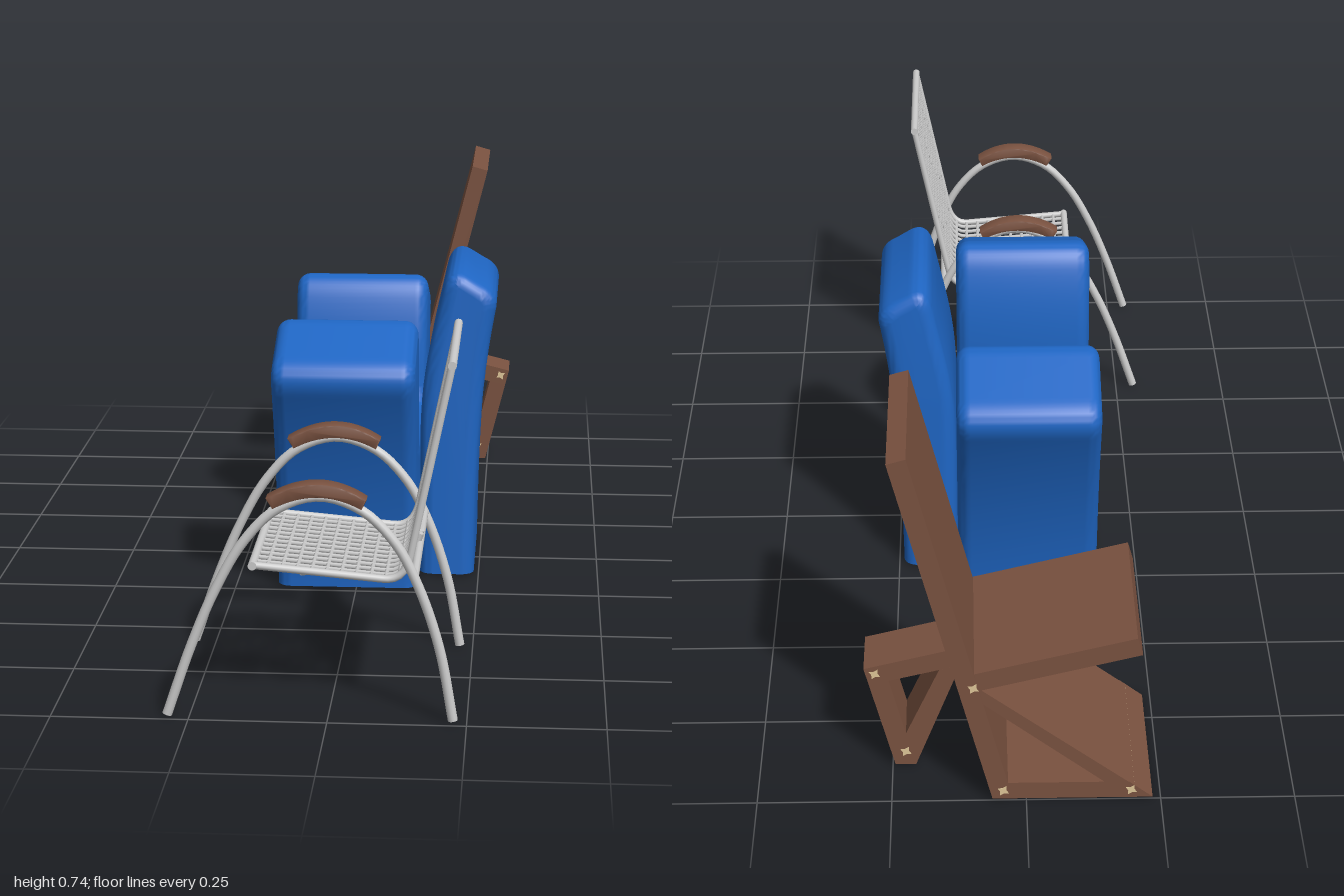
import * as THREE from 'three';
import { toCreasedNormals } from 'three/addons/utils/BufferGeometryUtils.js';

const material = (color) => new THREE.MeshStandardMaterial({ color, side: THREE.DoubleSide });
const metal = material(0xcccccc);
const blue = material(0x1f66c4);
const wood = material(0x7a5240);
const tan = material(0xe0c89a);

const v = (x, y, z = 0) => new THREE.Vector3(x, y, z);

function add(parent, name, geometry, mat) {
  const mesh = new THREE.Mesh(geometry, mat);
  mesh.name = name;
  parent.add(mesh);
  return mesh;
}

// Capped round bar between two points
function bar(parent, name, a, b, r, sides = 10) {
  const mesh = add(parent, name, new THREE.CylinderGeometry(r, r, a.distanceTo(b), sides), metal);
  mesh.position.copy(a).add(b).multiplyScalar(0.5);
  mesh.quaternion.setFromUnitVectors(v(0, 1, 0), b.clone().sub(a).normalize());
  return mesh;
}

// Bent tube with closed ends
function tube(parent, name, curve, segments, r, sides = 10) {
  add(parent, name, new THREE.TubeGeometry(curve, segments, r, sides), metal);
  for (const t of [0, 1]) {
    const p = curve.getPointAt(t);
    const d = curve.getTangentAt(t).multiplyScalar(0.0005);
    bar(parent, name + 'End', p.clone().sub(d), p.clone().add(d), r, sides);
  }
}

// Tubular arch chair with a wire mesh seat
function meshChair() {
  const g = new THREE.Group();
  g.name = 'meshChair';
  const half = 0.168;
  const archPoints = [[-0.29, 0], [-0.245, 0.13], [-0.2, 0.237], [-0.15, 0.325], [-0.09, 0.387], [-0.015, 0.412],
    [0.06, 0.389], [0.12, 0.33], [0.162, 0.25], [0.2, 0.135], [0.225, 0]];
  const rest = new THREE.Shape();
  rest.moveTo(-0.095, 0.392);
  rest.quadraticCurveTo(-0.015, 0.436, 0.062, 0.393);
  rest.lineTo(0.071, 0.411);
  rest.quadraticCurveTo(-0.015, 0.468, -0.107, 0.411);
  for (const side of [-1, 1]) {
    // Arched legs and armrests
    const arch = new THREE.CatmullRomCurve3(archPoints.map(([x, y]) => v(x, y, side * 0.203)));
    tube(g, 'archLeg', arch, 60, 0.009, 12);
    const armrest = add(g, 'armrest', toCreasedNormals(new THREE.ExtrudeGeometry(rest, {
      depth: 0.03, curveSegments: 20, bevelSize: 0.003, bevelThickness: 0.003, bevelOffset: -0.003, bevelSegments: 2,
    }), 0.7), wood);
    armrest.position.z = side * 0.203 - 0.015;
  }
  // Seat and back outline, at any depth
  const outline = (z) => {
    const path = new THREE.CurvePath();
    path.add(new THREE.LineCurve3(v(-0.137, 0.272, z), v(0.1, 0.251, z)));
    path.add(new THREE.QuadraticBezierCurve3(v(0.1, 0.251, z), v(0.136, 0.249, z), v(0.146, 0.295, z)));
    path.add(new THREE.LineCurve3(v(0.146, 0.295, z), v(0.218, 0.645, z)));
    return path;
  };
  for (const side of [-1, 1]) tube(g, 'sideRail', outline(side * half), 60, 0.007);
  const columns = 13;
  for (let i = 1; i < columns; i++) {
    const z = -half + (2 * half * i) / columns;
    add(g, 'longWire', new THREE.TubeGeometry(outline(z), 50, 0.0042, 6), metal);
  }
  const middle = outline(0);
  const rows = 25;
  for (let i = 0; i <= rows; i++) {
    const p = middle.getPointAt(i / rows);
    const edge = i === 0 || i === rows;
    const reach = edge ? half + 0.007 : half;
    bar(g, edge ? 'endRail' : 'crossWire', v(p.x, p.y, -reach), v(p.x, p.y, reach), edge ? 0.008 : 0.0042, edge ? 12 : 6);
  }
  // Cross bar and forked support below the seat
  bar(g, 'crossBar', v(0.155, 0.268, -0.203), v(0.155, 0.268, 0.203), 0.008);
  for (const side of [-1, 1]) {
    const fork = new THREE.CatmullRomCurve3([v(-0.055, 0.243, side * 0.105), v(0.02, 0.235, side * 0.06),
      v(0.1, 0.226, side * 0.012), v(0.136, 0.243, side * 0.009), v(0.155, 0.29, side * 0.009)]);
    tube(g, 'supportFork', fork, 30, 0.009);
  }
  g.position.z = 0.777;
  return g;
}

// Soft cushion block: rounded edges all round, flat on the floor
function cushion(shape, width) {
  const r = 0.028;
  const geo = new THREE.ExtrudeGeometry(shape, {
    depth: width - 2 * r, curveSegments: 12, bevelSize: r, bevelThickness: r, bevelOffset: -r, bevelSegments: 6,
  });
  geo.translate(0, 0, r - width / 2);
  const p = geo.attributes.position;
  for (let i = 0; i < p.count; i++) p.setY(i, Math.max(0, p.getY(i)));
  return toCreasedNormals(geo, 0.8);
}

function cushionChair() {
  const g = new THREE.Group();
  g.name = 'cushionChair';
  // Seat with two flared arms, mirrored about its middle
  const side = new THREE.Path();
  side.moveTo(0.27, -0.03);
  side.lineTo(0.27, 0.01);
  side.quadraticCurveTo(0.29, 0.22, 0.39, 0.43);
  side.quadraticCurveTo(0.423, 0.49, 0.36, 0.512);
  side.lineTo(0.265, 0.551);
  side.quadraticCurveTo(0.212, 0.575, 0.192, 0.515);
  side.quadraticCurveTo(0.168, 0.44, 0.167, 0.33);
  side.quadraticCurveTo(0.166, 0.288, 0.125, 0.288);
  const pts = side.getPoints(12);
  const mirrored = pts.map((p) => new THREE.Vector2(-p.x, p.y)).reverse();
  const seat = add(g, 'armedSeat', cushion(new THREE.Shape([...pts, ...mirrored]), 0.288), blue);
  seat.rotation.y = Math.PI / 2;
  seat.position.x = -0.019;
  // Leaning back block
  const back = new THREE.Shape();
  back.moveTo(0.126, -0.03);
  back.lineTo(0.24, -0.03);
  back.lineTo(0.24, 0.01);
  back.bezierCurveTo(0.243, 0.25, 0.25, 0.4, 0.279, 0.56);
  back.quadraticCurveTo(0.29, 0.6, 0.25, 0.618);
  back.lineTo(0.222, 0.635);
  back.quadraticCurveTo(0.182, 0.658, 0.17, 0.6);
  back.bezierCurveTo(0.145, 0.48, 0.126, 0.43, 0.126, 0.28);
  add(g, 'backBlock', cushion(back, 0.34), blue);
  g.position.z = -0.035;
  return g;
}

// Plank chair with triangular bracing
function plankChair() {
  const g = new THREE.Group();
  g.name = 'plankChair';
  const wide = 0.32, narrow = 0.105;
  const planks = [
    ['backPlank', wide, [[0.025, 0], [0.063, 0], [0.245, 0.725], [0.21, 0.735]]],
    ['seatPlank', wide, [[-0.2, 0.356], [-0.21, 0.32], [0.087, 0.245], [0.095, 0.282]]],
    ['slopedPlank', wide, [[-0.235, 0], [-0.19, 0], [0.079, 0.215], [0.087, 0.25]]],
    ['floorPlank', wide, [[-0.235, 0], [0.025, 0], [0.034, 0.036], [-0.19, 0.036]]],
    ['rearTopPlank', narrow, [[0.129, 0.263], [0.12, 0.226], [0.29, 0.184], [0.3, 0.22]]],
    ['rearLeg', narrow, [[0.29, 0.184], [0.254, 0.193], [0.206, 0], [0.245, 0], [0.3, 0.22]]],
    ['rearBrace', narrow, [[0.12, 0.226], [0.16, 0.216], [0.224, 0.072], [0.206, 0]]],
  ];
  for (const [name, width, corners] of planks) {
    const shape = new THREE.Shape(corners.map(([x, y]) => new THREE.Vector2(x, y)));
    const mesh = add(g, name, new THREE.ExtrudeGeometry(shape, { depth: width, bevelEnabled: false }), wood);
    mesh.position.z = -width / 2;
  }
  // Star-shaped pins at the joints
  const star = new THREE.Shape(Array.from({ length: 8 }, (_, i) => {
    const a = (i * Math.PI) / 4 + 0.5, r = i % 2 ? 0.006 : 0.012;
    return new THREE.Vector2(r * Math.cos(a), r * Math.sin(a));
  }));
  const joints = [[-0.195, 0.017, wide], [0.043, 0.018, wide], [0.097, 0.25, wide],
    [0.28, 0.208, narrow], [0.225, 0.03, narrow]];
  for (const [x, y, width] of joints) {
    const depth = width + 0.001;
    const pin = add(g, 'jointPin', new THREE.ExtrudeGeometry(star, { depth, bevelEnabled: false }), tan);
    pin.position.set(x, y, -depth / 2);
  }
  g.position.z = -0.84;
  return g;
}

export function createModel() {
  const model = new THREE.Group();
  model.name = 'threeChairs';
  model.add(meshChair(), cushionChair(), plankChair());
  return model;
}
